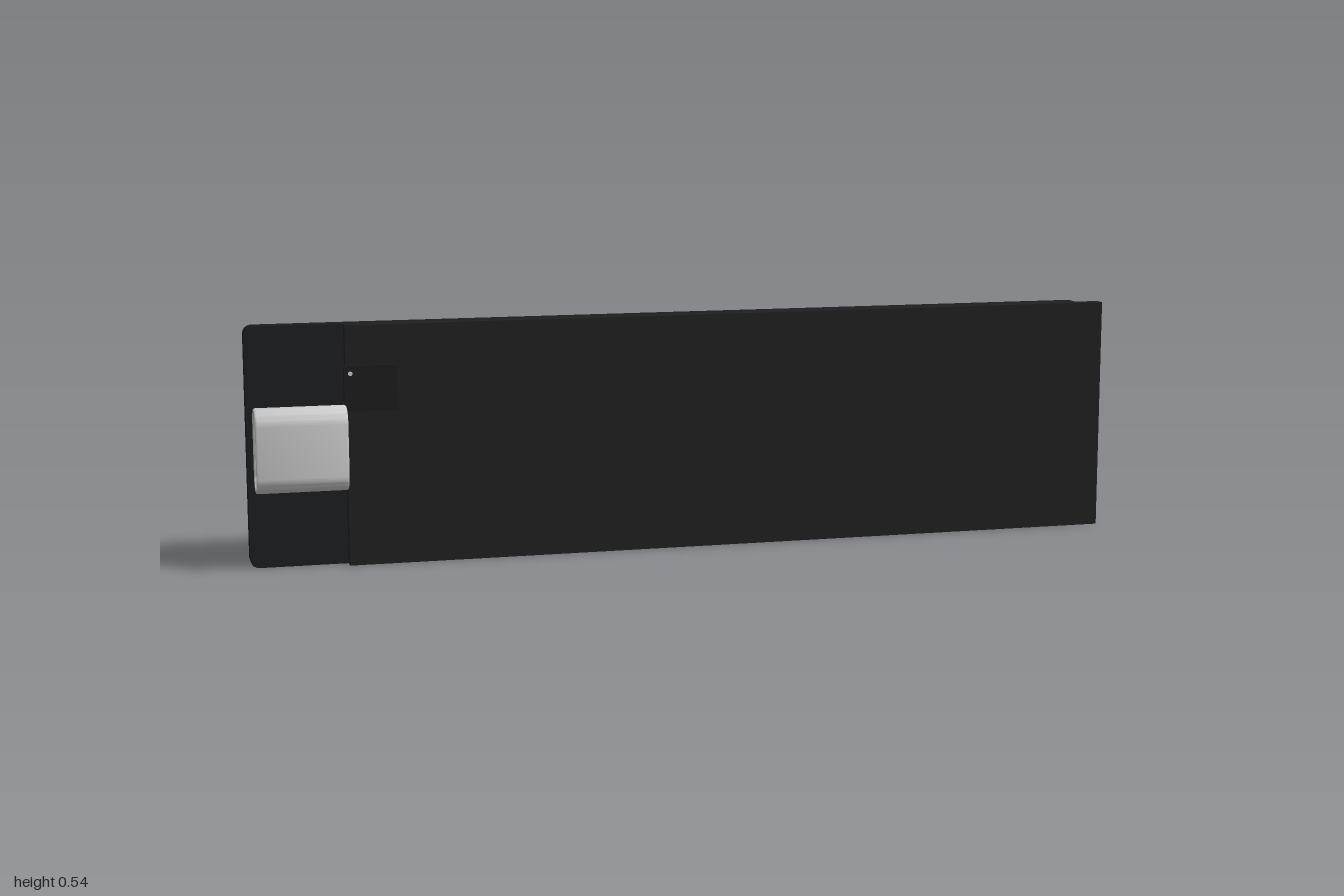
import * as THREE from 'three';
import { toCreasedNormals } from 'three/addons/utils/BufferGeometryUtils.js';

const H = 0.535;

// Rounded rectangle centred on (cx, cy), drawn on a Shape or Path
function roundedRect(path, cx, cy, w, h, r) {
  const a = w / 2 - r, b = h / 2 - r;
  path.moveTo(cx + a + r, cy - b);
  path.absarc(cx + a, cy + b, r, 0, Math.PI / 2);
  path.absarc(cx - a, cy + b, r, Math.PI / 2, Math.PI);
  path.absarc(cx - a, cy - b, r, Math.PI, Math.PI * 1.5);
  path.absarc(cx + a, cy - b, r, Math.PI * 1.5, Math.PI * 2);
  path.closePath();
  return path;
}

export function createModel() {
  const group = new THREE.Group();
  const add = (name, geometry, color, x = 0, y = 0, z = 0) => {
    const mesh = new THREE.Mesh(geometry, new THREE.MeshStandardMaterial({ color }));
    mesh.name = name;
    mesh.position.set(x, y, z);
    group.add(mesh);
    return mesh;
  };
  // Box given by its min and max corners
  const box = (name, color, [x0, y0, z0], [x1, y1, z1]) =>
    add(name, new THREE.BoxGeometry(x1 - x0, y1 - y0, z1 - z0), color,
      (x0 + x1) / 2, (y0 + y1) / 2, (z0 + z1) / 2);

  // Back slab with rounded corners
  const slab = new THREE.ExtrudeGeometry(
    roundedRect(new THREE.Shape(), -0.02, H / 2, 1.96, H, 0.02),
    { depth: 0.04, bevelEnabled: false, curveSegments: 6 });
  add('backSlab', toCreasedNormals(slab, 0.6), 0x1c1e20, 0, 0, -0.061);

  // Front panel, offset so that it overhangs the right end
  box('frontPanel', 0x202020, [-0.785, 0, -0.021], [1, H, 0.005]);

  // Small control box with its indicator light
  box('controlBox', 0x1c1c1e, [-0.79, 0.346, 0.004], [-0.672, 0.447, 0.018]);
  const light = new THREE.CylinderGeometry(0.005, 0.005, 0.003, 16).rotateX(Math.PI / 2);
  add('indicatorLight', light, 0xcccccc, -0.776, 0.43, 0.0185);

  // Handle: a closed band with softened rims, open at both ends
  const bevel = 0.004;
  const ring = roundedRect(new THREE.Shape(), 0, 0, 0.082 - 2 * bevel, 0.187 - 2 * bevel, 0.034);
  ring.holes.push(roundedRect(new THREE.Path(), 0, 0, 0.062 + 2 * bevel, 0.167 + 2 * bevel, 0.032));
  const band = new THREE.ExtrudeGeometry(ring, {
    depth: 0.2 - 2 * bevel, bevelThickness: bevel, bevelSize: bevel,
    bevelSegments: 3, curveSegments: 12,
  });
  band.translate(0, 0, -0.1 + bevel).rotateY(Math.PI / 2);
  add('handle', toCreasedNormals(band, 0.7), 0xcccccc, -0.887, 0.2685, 0.021);

  return group;
}
